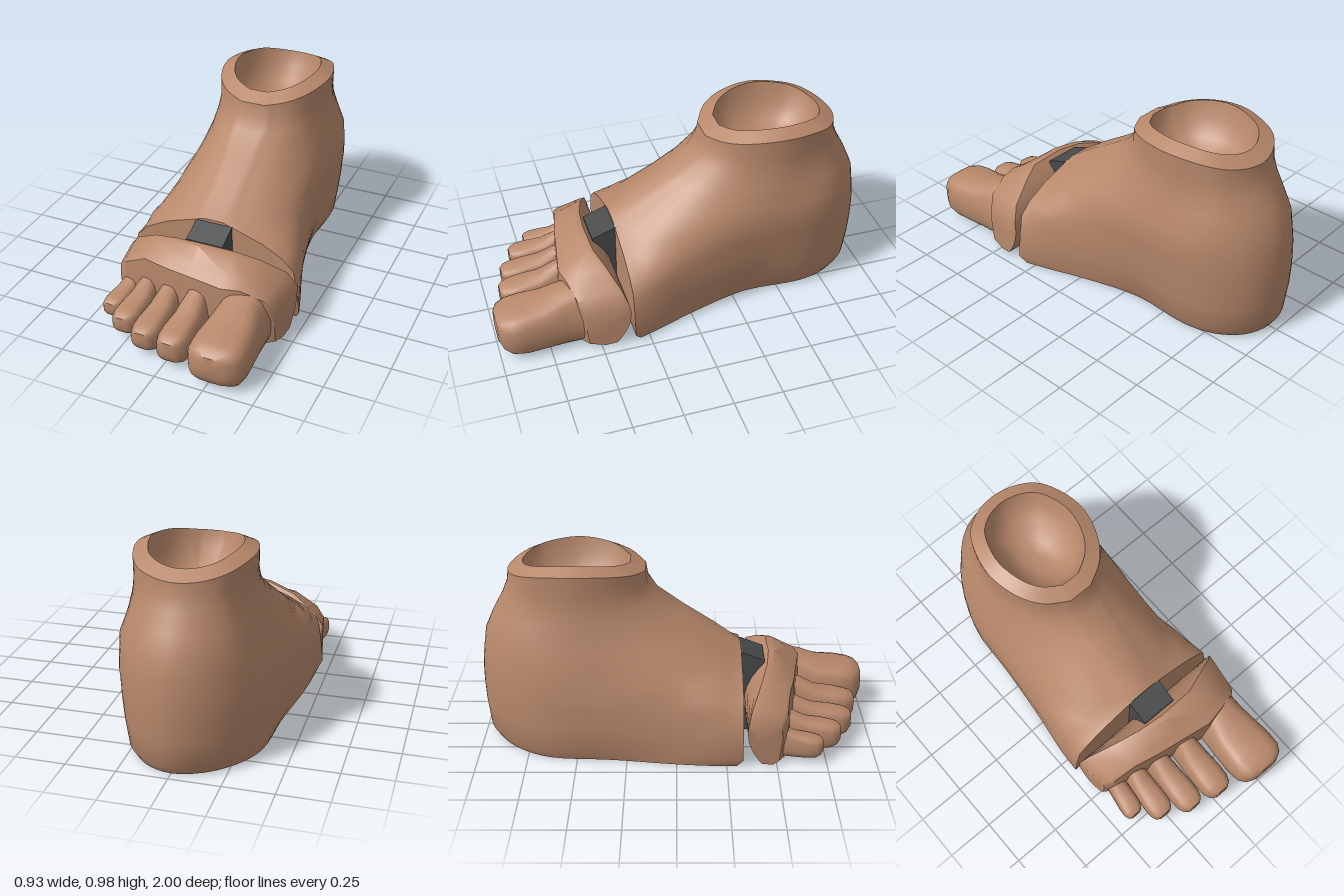
import * as THREE from 'three';
import { toCreasedNormals } from 'three/addons/utils/BufferGeometryUtils.js';

const V = (x, y, z) => new THREE.Vector3(x, y, z);
const lerp = THREE.MathUtils.lerp;

// Skin a list of closed rings (equal point counts) and cap both ends
function loft(rings, crease = 0.87) {
  const n = rings[0].length, pos = [], idx = [];
  rings.forEach(r => r.forEach(p => pos.push(p.x, p.y, p.z)));
  for (let i = 0; i < rings.length - 1; i++) {
    for (let j = 0; j < n; j++) {
      const a = i * n + j, b = i * n + (j + 1) % n;
      idx.push(a, b, b + n, a, b + n, a + n);
    }
  }
  [0, rings.length - 1].forEach(i => {
    const c = rings[i].reduce((s, p) => s.add(p), V(0, 0, 0)).divideScalar(n);
    const m = pos.length / 3;
    pos.push(c.x, c.y, c.z);
    for (let j = 0; j < n; j++) {
      const a = i * n + j, b = i * n + (j + 1) % n;
      idx.push(m, ...(i ? [a, b] : [b, a]));
    }
  });
  // turn the faces outward if the signed volume is negative
  const p = k => V(pos[3 * k], pos[3 * k + 1], pos[3 * k + 2]);
  let vol = 0;
  for (let k = 0; k < idx.length; k += 3) vol += p(idx[k]).dot(p(idx[k + 1]).cross(p(idx[k + 2])));
  if (vol < 0) idx.reverse();
  const g = new THREE.BufferGeometry();
  g.setAttribute('position', new THREE.Float32BufferAttribute(pos, 3));
  g.setIndex(idx);
  return toCreasedNormals(g, crease);
}

// Horizontal foot outline: flat front of half width w0, rounded heel, inner side bent in for the arch
function footRing([y, zb, zf, w0, w1, w2, w3, w4, bend = 0, lift = 0]) {
  const side = [[0, w0], [0.1, w1], [0.25, w2], [0.5, w3], [0.75, w4], [0.875, 0.8 * w4], [0.965, 0.44 * w4]];
  const at = ([u, w], s) => V(s * w - bend * Math.sin(Math.PI * u), 0, lerp(zf, zb, u));
  const pts = [...side.map(q => at(q, 1)), V(0, 0, zb), ...side.map(q => at(q, -1)).reverse()];
  const curve = new THREE.CatmullRomCurve3(pts);
  return curve.getPoints(56).map(p => V(p.x, y + lift * Math.min(1, (p.x / w3) ** 2), p.z));
}
const ovalRing = (y, zb, zf, a, lift) =>
  footRing([y, zb, zf, 0.22 * a, 0.62 * a, 0.87 * a, a, 0.87 * a, 0, lift]);

function hindfoot() {
  const rows = [
    [0.005, -0.95, 0.30, 0.44, 0.42, 0.38, 0.32, 0.31, 0.06],
    [0.05, -0.98, 0.33, 0.465, 0.44, 0.39, 0.34, 0.33, 0.055],
    [0.18, -0.995, 0.33, 0.45, 0.435, 0.40, 0.36, 0.34, 0.045],
    [0.29, -1, 0.33, 0.43, 0.42, 0.39, 0.365, 0.345, 0.035],
    [0.35, -1, 0.33, 0.37, 0.40, 0.38, 0.365, 0.345, 0.03],
    [0.41, -0.998, 0.33, 0.26, 0.34, 0.365, 0.36, 0.345, 0.02],
    [0.48, -0.99, 0.33, 0.05, 0.24, 0.33, 0.355, 0.34, 0.01],
    [0.58, -0.975, 0.19, 0.05, 0.20, 0.29, 0.335, 0.32],
    [0.68, -0.93, 0.03, 0.06, 0.18, 0.26, 0.31, 0.28],
    [0.77, -0.88, -0.10, 0.07, 0.185, 0.255, 0.292, 0.255],
    [0.84, -0.852, -0.145, 0.07, 0.18, 0.25, 0.287, 0.25],
  ];
  return loft([
    ...rows.map(footRing),
    // ankle rim, then the hollow socket
    ovalRing(0.90, -0.845, -0.155, 0.29, 0.05),
    ovalRing(0.94, -0.77, -0.23, 0.22, 0.043),
    ovalRing(0.86, -0.75, -0.25, 0.20, 0.03),
    ovalRing(0.79, -0.69, -0.31, 0.155, 0.015),
    ovalRing(0.75, -0.60, -0.40, 0.08, 0),
  ]);
}

// Ball of the foot: side profiles strung along x, with a convex back that rolls in the joint
function forefoot() {
  const stations = [ // x, top height, front z
    [-0.452, 0.24, 0.52], [-0.41, 0.30, 0.55], [-0.28, 0.38, 0.57], [-0.14, 0.42, 0.60], [0, 0.435, 0.62],
    [0.2, 0.43, 0.65], [0.3, 0.39, 0.63], [0.42, 0.32, 0.60], [0.46, 0.24, 0.57],
  ];
  const backZ = y => 0.35 + 0.12 * ((y - 0.2) / 0.23) ** 2;
  return loft(stations.map(([x, top, zf]) => {
    const pts = [];
    for (let i = 0; i <= 8; i++) {
      const y = lerp(0.02, top, i / 8);
      pts.push([backZ(y), y]);
    }
    const frontTop = Math.min(0.33, top * 0.88);
    pts.push([backZ(top) + 0.03, top], [lerp(0.5, zf, 0.6), lerp(top, frontTop, 0.6)],
      [zf, frontTop], [zf + 0.005, 0.15], [zf - 0.01, 0.03], [0.48, 0.01]);
    return pts.map(([z, y]) => V(x * (1 - 0.3 * Math.max(0, z - 0.36)), y, z));
  }), 0.75);
}

// Toe: rounded-square sections from a tall peaked root to a blunt, flat-topped tip
function toe({ x0, x1, w, z0, z1, low, root, tip }) {
  const steps = [ // along, width, drop from root to tip height, end rounding
    [0, 0.92, 0, 0], [0.25, 0.92, 0.3, 0], [0.45, 0.95, 0.75, 0], [0.7, 1, 0.9, 0],
    [0.86, 0.96, 1, 0.04], [0.95, 0.8, 1, 0.13], [1, 0.5, 1, 0.27],
  ];
  return loft(steps.map(([t, ws, drop, round]) => {
    const full = lerp(root, tip, drop), h = full - low;
    const bottom = low + h * round * 1.3, top = full - h * round * 0.6;
    const peak = 0.35 * (1 - drop);
    return Array.from({ length: 20 }, (_, i) => {
      const a = i / 20 * Math.PI * 2;
      const f = v => Math.sign(v) * Math.abs(v) ** 0.6;
      const sx = f(Math.cos(a)), sy = f(Math.sin(a));
      const px = sx * (1 - peak * Math.max(0, sy));
      return V(lerp(x0, x1, t) + px * w * ws, lerp(bottom, top, (sy + 1) / 2), lerp(z0, z1, t));
    });
  }), 0.8);
}

export function createModel() {
  const skin = new THREE.MeshStandardMaterial({ color: 0xb8886b });
  skin.name = 'skin';
  const dark = new THREE.MeshStandardMaterial({ color: 0x484a4c });
  dark.name = 'dark rubber';
  const group = new THREE.Group();
  group.name = 'foot';
  const add = (name, geometry, material) => {
    const m = new THREE.Mesh(geometry, material);
    m.name = name;
    group.add(m);
    return m;
  };

  add('hindfoot', hindfoot(), skin);
  add('forefoot', forefoot(), skin);

  const toes = [
    { name: 'bigToe', x0: 0.285, x1: 0.285, w: 0.145, z0: 0.56, z1: 1.0, low: 0.005, root: 0.325, tip: 0.245 },
    { name: 'secondToe', x0: 0.045, x1: 0.035, w: 0.08, z0: 0.55, z1: 0.935, low: 0.015, root: 0.29, tip: 0.19 },
    { name: 'thirdToe', x0: -0.115, x1: -0.125, w: 0.072, z0: 0.52, z1: 0.90, low: 0.015, root: 0.255, tip: 0.17 },
    { name: 'fourthToe', x0: -0.245, x1: -0.27, w: 0.067, z0: 0.50, z1: 0.83, low: 0.025, root: 0.24, tip: 0.165 },
    { name: 'littleToe', x0: -0.35, x1: -0.385, w: 0.055, z0: 0.47, z1: 0.73, low: 0.03, root: 0.21, tip: 0.145 },
  ];
  toes.forEach(t => add(t.name, toe(t), skin));

  // joint block bridging hindfoot and forefoot, a side profile swept across x
  const profile = [[0.31, 0.02], [0.335, 0.015], [0.43, 0.035], [0.45, 0.06], [0.45, 0.42], [0.335, 0.465], [0.31, 0.465]];
  add('jointBlock', loft([-0.092, 0.102].map(x => profile.map(([z, y]) => V(x, y, z))), 0.3), dark);
  return group;
}
